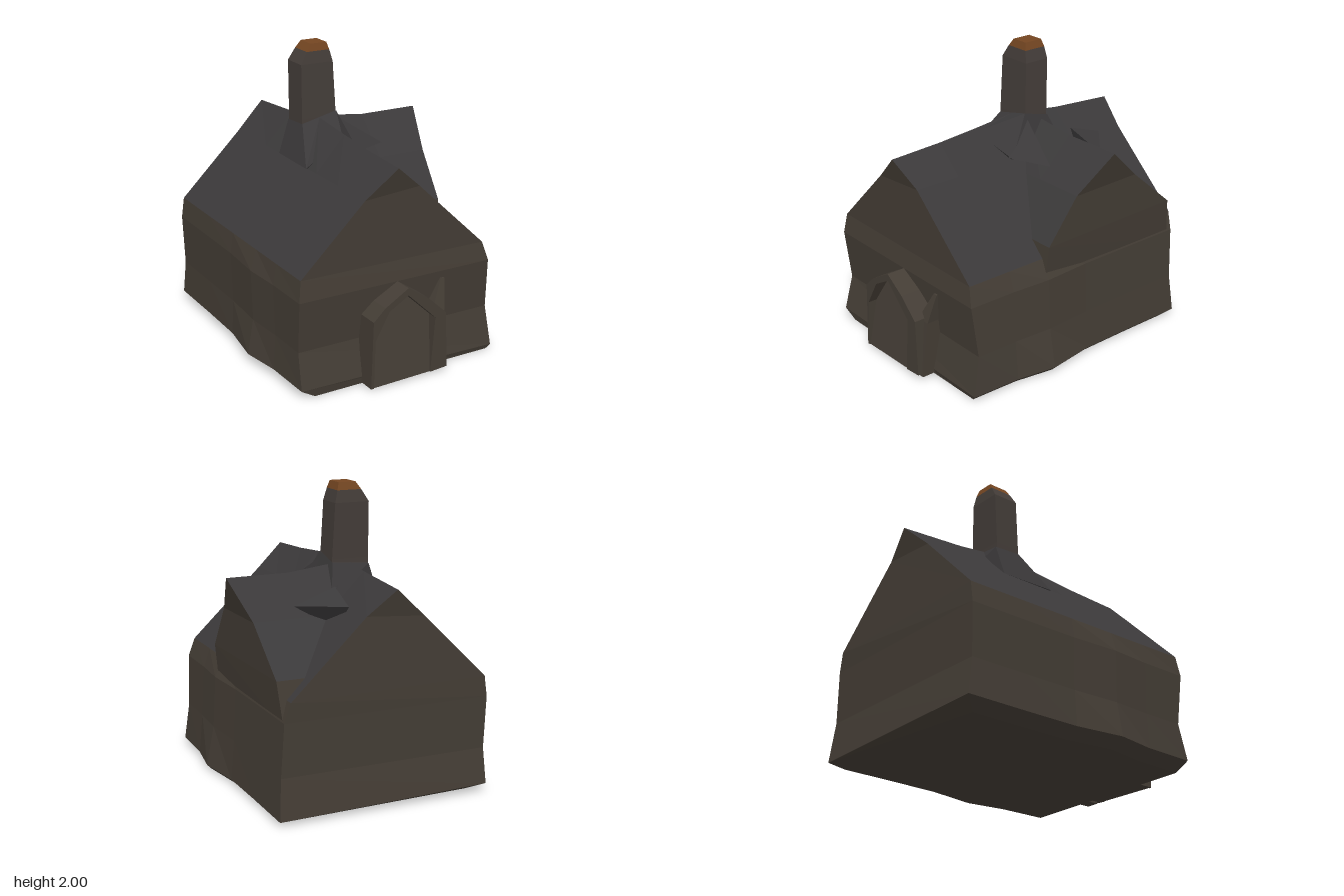
import * as THREE from 'three';

const mat = (color) => new THREE.MeshStandardMaterial({ color, flatShading: true, side: THREE.DoubleSide });

// Joins rings of [x, y, z] points; cols picks the side strips, caps closes both ends.
function loft(name, rings, material, cols = null, caps = true) {
  const pos = [];
  const n = rings[0].length;
  const quad = (a, b, c, d) => [a, b, c, a, c, d].forEach((p) => pos.push(...p));
  for (let i = 0; i < rings.length - 1; i++) {
    for (let j = 0; j < n; j++) {
      if (cols && !cols.includes(j)) continue;
      const k = (j + 1) % n;
      quad(rings[i][j], rings[i][k], rings[i + 1][k], rings[i + 1][j]);
    }
  }
  if (caps) {
    // Strips running across from one half of the ring to the other
    const first = rings[0], last = rings[rings.length - 1];
    for (let j = 0; j < Math.floor(n / 2); j++) {
      const a = j, b = j + 1, c = n - 2 - j, d = n - 1 - j;
      quad(last[a], last[b], last[c], last[d]);
      quad(first[d], first[c], first[b], first[a]);
    }
  }
  const geo = new THREE.BufferGeometry();
  geo.setAttribute('position', new THREE.Float32BufferAttribute(pos, 3));
  geo.computeVertexNormals();
  const mesh = new THREE.Mesh(geo, material);
  mesh.name = name;
  return mesh;
}

export function createModel() {
  const model = new THREE.Group();
  model.name = 'cottage';
  const wallMat = mat(0x443d35);
  const roofMat = mat(0x3b393a);
  const chimneyMat = mat(0x443d39);
  const rustMat = mat(0x744622);

  // Main house section, from the right foot over the ridge to the left foot
  const profile = [
    [0.69, 0], [0.72, 0.03], [0.70, 0.3], [0.68, 0.65], [0.64, 0.78], [0.13, 1.26],
    [-0.06, 1.42], [-0.27, 1.23], [-0.72, 0.79], [-0.74, 0.65], [-0.73, 0.3], [-0.74, 0.06], [-0.64, 0],
  ];
  const backZ = [-0.84, -0.95, -0.92, -0.93, -0.94, -0.93, -0.97, -0.93, -0.93, -0.93, -0.92, -0.95, -0.84];
  const frontZ = [0.84, 0.85, 0.80, 0.84, 0.82, 0.83, 0.88, 0.83, 0.82, 0.84, 0.80, 0.86, 0.85];
  // [z, outward push at the foot, ridge lift]
  const stations = [
    [null, 0, 0], [-0.5, 0, 0.03], [-0.12, 0.005, 0.08], [0.22, 0.055, 0.045], [0.5, 0.01, 0.02], [null, 0, 0],
  ];
  const house = stations.map(([z, push, lift], i) => profile.map(([x, y], j) => [
    x + Math.sign(x) * push * (y < 0.1 ? 1 : y < 0.7 ? 0.4 : 0),
    y + (j === 6 ? lift : 0),
    z ?? (i === 0 ? backZ[j] : frontZ[j]),
  ]));
  model.add(loft('walls', house, wallMat, [0, 1, 2, 3, 8, 9, 10, 11, 12]));
  model.add(loft('mainRoof', house, roofMat, [4, 5, 6, 7], false));

  // Cross gable on the left side: its foot sinks into the wall and its ridge end flares out
  const gable = [[-0.9, 0.6], [-0.86, 0.9], [-0.52, 1.19], [-0.25, 1.43], [0, 1.18], [0.22, 0.88], [0.23, 0.6]];
  const gableAt = (x, lift = 0) => gable.map(([z, y]) => [x, y + (y > 1.4 ? lift : 0), z]);
  const flare = [-0.03, 0, 0.01, 0.085, 0.01, 0, -0.03];
  const gableEnd = gable.map(([z, y], i) => [0.7 + flare[i], y, z]);
  const cross = [gableAt(-0.06, 0.05), gableAt(0.36), gableEnd];
  model.add(loft('crossGableWall', cross, wallMat, [0, 5, 6]));
  model.add(loft('crossGableRoof', cross, roofMat, [1, 2, 3, 4], false));

  // Small folds filling the roof valleys
  const fold = (name, tip, base) => loft(name, [[tip, tip, tip], base], roofMat);
  model.add(fold('frontValleyFold', [0.1, 1.2, -0.1], [[0.06, 1.5, -0.13], [0.13, 1.28, 0.08], [0.4, 1.27, -0.05]]));
  model.add(fold('backValleyFold', [0.15, 1.1, -0.55], [[0.15, 1.28, -0.72], [0.13, 1.36, -0.47], [0.42, 1.26, -0.48]]));

  // Chimney: shaft with a rust-coloured tip, rising from a pointed skirt
  const square = (y, x0, x1, z0, z1) => [[x0, y, z1], [x1, y, z1], [x1, y, z0], [x0, y, z0]];
  const neck = square(1.95, -0.135, 0.035, -0.305, -0.142);
  model.add(loft('chimneyShaft', [
    square(1.2, -0.19, 0.07, -0.3, -0.115),
    square(1.5, -0.19, 0.07, -0.3, -0.115),
    square(1.87, -0.185, 0.055, -0.315, -0.13),
    neck,
  ], chimneyMat));
  model.add(loft('chimneyTip', [neck, square(2.0, -0.1, 0.02, -0.29, -0.155)], rustMat));
  model.add(loft('chimneySkirt', [
    [[-0.06, 1.44, 0.2], [0.15, 1.27, 0.06], [0.12, 1.27, -0.4], [-0.27, 1.23, -0.3], [-0.28, 1.23, 0.1]],
    [[-0.06, 1.5, -0.11], [0.07, 1.53, -0.11], [0.07, 1.48, -0.31], [-0.19, 1.46, -0.31], [-0.19, 1.47, -0.11]],
  ], roofMat));

  // Porch: pointed arch around a door that leans back, with a buttress beside it
  const doorway = [[0.15, 0.02], [0.18, 0.4], [-0.03, 0.6], [-0.17, 0.52], [-0.27, 0.34], [-0.28, 0.01]];
  const arch = new THREE.Shape([
    [-0.3, 0.01], [-0.285, 0.47], [-0.2, 0.55], [-0.03, 0.65], [0.12, 0.55], [0.26, 0.42], [0.28, 0.03],
    ...doorway,
  ].map(([x, y]) => new THREE.Vector2(x, y)));
  const archMesh = new THREE.Mesh(new THREE.ExtrudeGeometry(arch, { depth: 0.17, bevelEnabled: false }), wallMat);
  archMesh.name = 'porchArch';
  archMesh.position.z = 0.8;
  model.add(archMesh);
  model.add(loft('door', [
    doorway.map(([x, y]) => [x, y, 0.78]),
    doorway.map(([x, y]) => [x, y, 0.965 - 0.17 * y]),
  ], wallMat));
  model.add(loft('porchButtress', [
    square(0.01, 0.2, 0.29, 0.78, 0.94),
    square(0.4, 0.2, 0.3, 0.78, 0.9),
    square(0.6, 0.3, 0.33, 0.78, 0.845),
  ], wallMat));

  return model;
}
